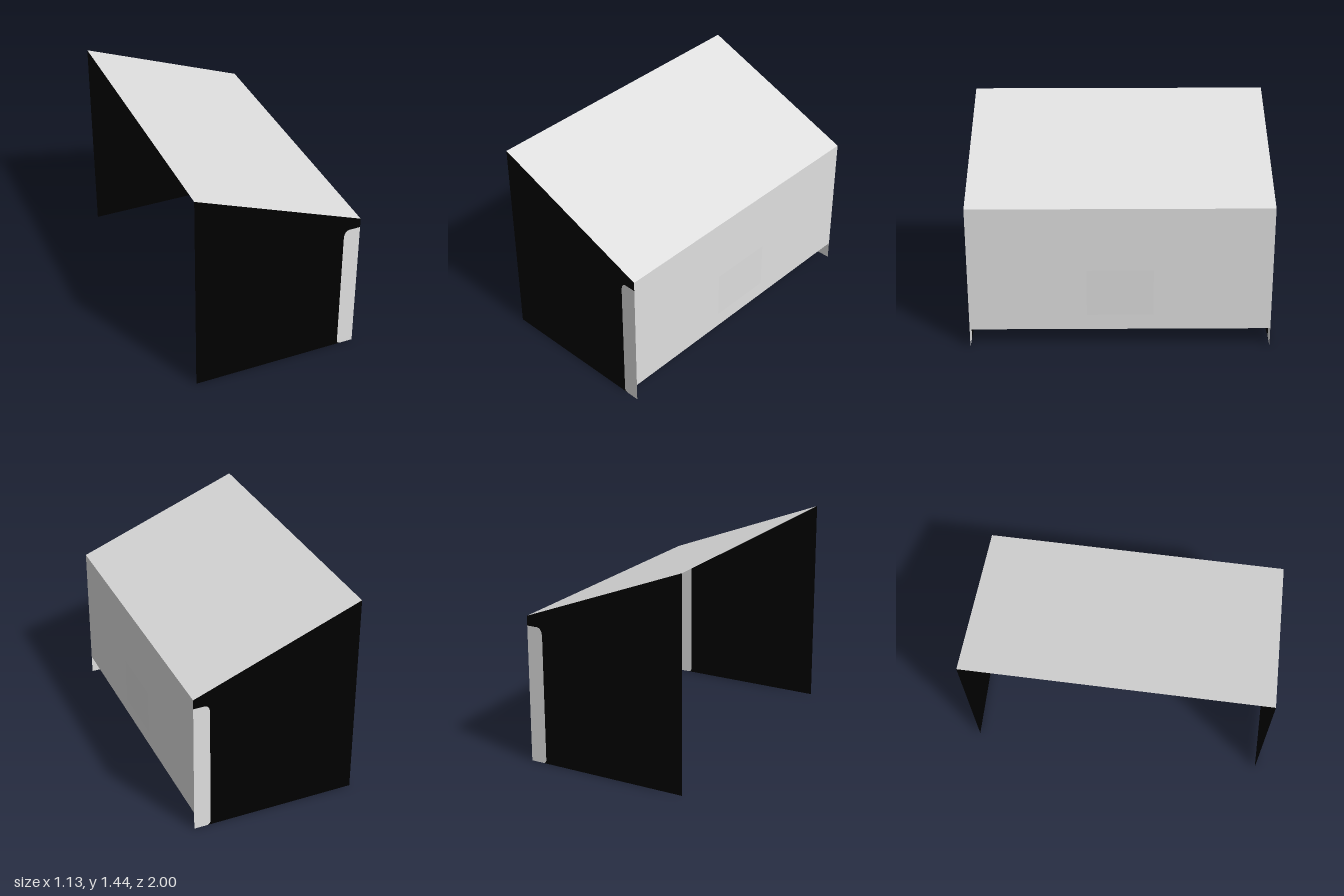
import * as THREE from 'three';

const HALF_W = 0.563, HALF_L = 1, HIGH = 1.435, LOW = 1, WALL_BOTTOM = 0.13;

function paint(name, color) {
  const m = new THREE.MeshStandardMaterial({ color, side: THREE.DoubleSide });
  m.name = name;
  return m;
}

export function createModel() {
  const group = new THREE.Group();
  group.name = 'shelter';
  const black = paint('black panel', 0x000000);
  const trim = paint('pale trim', 0xe2e2e2);
  const sheet = paint('pale grey sheet', 0xdfdfdf);
  const plate = paint('plate grey', 0xdddddd);

  function add(name, geometry, material, x = 0, y = 0, z = 0) {
    const mesh = new THREE.Mesh(geometry, material);
    mesh.name = name;
    mesh.position.set(x, y, z);
    group.add(mesh);
  }

  // Rounded boundary between the black end panel and its pale strip
  function stripEdge(shape) {
    shape.lineTo(HALF_W, 0.935);
    shape.lineTo(0.492, 0.935);
    shape.bezierCurveTo(0.462, 0.935, 0.451, 0.91, 0.451, 0.865);
    shape.lineTo(0.451, 0.025);
    shape.quadraticCurveTo(0.451, 0.005, 0.472, 0);
  }

  // End panels, one at each end
  const panel = new THREE.Shape();
  panel.moveTo(-HALF_W, 0);
  panel.lineTo(-HALF_W, HIGH);
  panel.lineTo(HALF_W, LOW);
  stripEdge(panel);
  const strip = new THREE.Shape();
  strip.moveTo(HALF_W, 0);
  stripEdge(strip);
  for (const [end, z] of [['front', HALF_L], ['back', -HALF_L]]) {
    add(end + 'EndPanel', new THREE.ShapeGeometry(panel), black, 0, 0, z);
    add(end + 'EndStrip', new THREE.ShapeGeometry(strip), trim, 0, 0, z);
  }

  // Sloping roof
  const rise = HIGH - LOW;
  const roof = new THREE.PlaneGeometry(Math.hypot(rise, 2 * HALF_W), 2 * HALF_L)
    .rotateX(-Math.PI / 2)
    .rotateZ(-Math.atan2(rise, 2 * HALF_W));
  add('roof', roof, sheet, 0, (HIGH + LOW) / 2);

  // Long wall, with a small plate on its outside
  const upright = (width, height) =>
    new THREE.PlaneGeometry(width, height).rotateY(Math.PI / 2);
  add('wall', upright(2 * HALF_L, LOW - WALL_BOTTOM), sheet, HALF_W, (LOW + WALL_BOTTOM) / 2);
  add('wallPlate', upright(0.44, 0.325), plate, HALF_W + 0.002, 0.4);

  return group;
}
